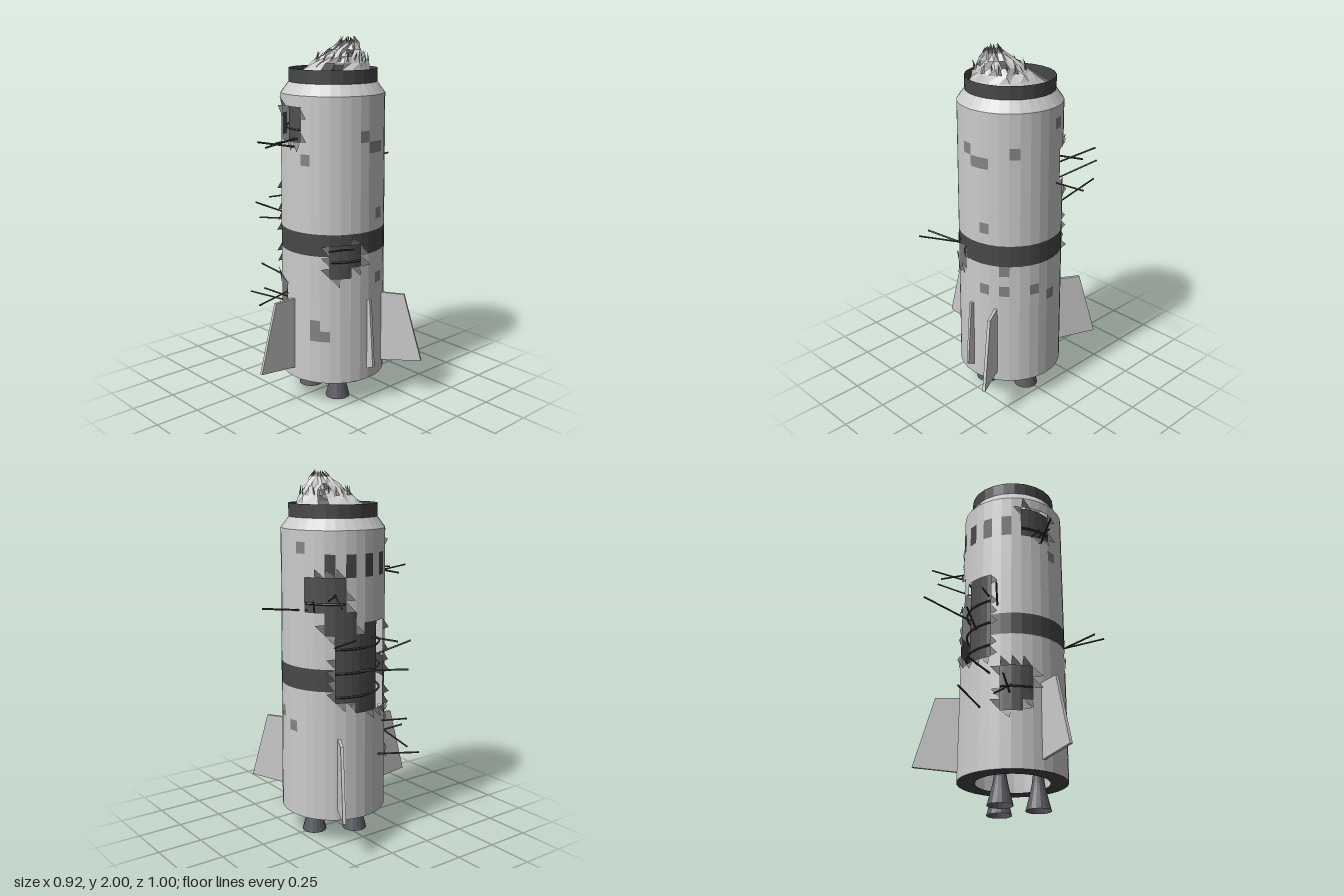
import * as THREE from 'three';

const COLS = 32, ROWS = 26, Y0 = 0.14, ROW_H = 0.06;
const mat = (color) => new THREE.MeshStandardMaterial({ color, side: THREE.DoubleSide, flatShading: true });

function seeded(seed) {
  return () => {
    seed = (seed * 16807) % 2147483647;
    return seed / 2147483647;
  };
}

// Holes as [first col, last col, first row, last row]; column 0 starts at the front
const HOLES = [
  [-2, 0, 23, 24], [-1, 0, 22, 22], [-2, -2, 22, 22],
  [-11, -6, 11, 16], [-9, -6, 10, 10], [-8, -6, 17, 17],
  [-14, -11, 19, 21], [-12, -10, 17, 18],
  [-4, -2, 6, 8], [-4, -3, 5, 5],
  [4, 6, 11, 12], [4, 5, 10, 10],
];
const WINDOWS = [-4, -6, -8, -10, -12];
const PATCHES = [[1, 20], [2, 5], [7, 22], [8, 21], [9, 21], [9, 15], [9, 9], [2, 4], [3, 4],
  [-15, 24], [-16, 8], [12, 22], [11, 9], [14, 9], [11, 11]];

const isHole = (c, r) => HOLES.some(([a, b, d, e]) => c >= a && c <= b && r >= d && r <= e);

// Point on the hull at a fractional column and row, pushed out by `lift`
function hullPoint(c, r, lift = 0) {
  const a = (c / COLS) * Math.PI * 2;
  const radius = 0.29 - 0.01 * (r / ROWS) + lift;
  return [Math.sin(a) * radius, Y0 + r * ROW_H, Math.cos(a) * radius];
}

function soup(points) {
  const g = new THREE.BufferGeometry();
  g.setAttribute('position', new THREE.Float32BufferAttribute(points.flat(), 3));
  g.computeVertexNormals();
  return g;
}

const quad = (a, b, c, d) => [a, b, c, a, c, d];

export function createModel() {
  const root = new THREE.Group();
  root.name = 'damagedRocket';
  const body = new THREE.Group();
  body.name = 'rocketBody';
  body.position.set(0.005, 0, -0.02);
  root.add(body);

  const light = mat(0xcccccc), grey = mat(0x858585), dark = mat(0x484848), metal = mat(0x5a5a62);
  const add = (name, geometry, material, parent = body) => {
    const m = new THREE.Mesh(geometry, material);
    m.name = name;
    parent.add(m);
    return m;
  };
  const random = seeded(77);

  // Hull panels sorted by colour, with torn flaps around the holes
  const plain = [], patched = [], bands = [], flaps = [];
  for (let c = -COLS / 2; c < COLS / 2; c++) {
    for (let r = 0; r < ROWS; r++) {
      if (isHole(c, r)) continue;
      const isDark = r === 12 || r === 13 || (WINDOWS.includes(c) && (r === 22 || r === 23));
      const isPatch = PATCHES.some(([pc, pr]) => pc === c && pr === r);
      const target = isDark ? bands : isPatch ? patched : plain;
      target.push(...quad(hullPoint(c, r), hullPoint(c + 1, r), hullPoint(c + 1, r + 1), hullPoint(c, r + 1)));
      for (const [dc, dr] of [[1, 0], [-1, 0], [0, 1], [0, -1]]) {
        if (!isHole(c + dc, r + dr) || random() < 0.35) continue;
        const lift = 0.008 + random() * 0.02;
        const u = c + 0.5 + dc * 0.5, v = r + 0.5 + dr * 0.5;
        flaps.push(
          hullPoint(u - dr * 0.5, v - dc * 0.5, 0.002),
          hullPoint(u + dr * 0.5, v + dc * 0.5, 0.002),
          hullPoint(u - dc * 0.8 + dr * 0.4, v - dr * 0.8 + dc * 0.4, lift));
      }
    }
  }
  add('hullPanels', soup(plain), light);
  add('discolouredPanels', soup(patched), grey);
  add('bandAndWindows', soup(bands), dark);
  add('tornFlaps', soup(flaps), grey);

  // Dark inner wall with hoops, seen through the holes
  const liner = add('innerWall', new THREE.CylinderGeometry(0.238, 0.238, 1.36, 32, 1, true),
    new THREE.MeshStandardMaterial({ color: 0x505050, flatShading: true }));
  liner.position.y = 0.98;
  for (const y of [0.58, 0.82, 0.95, 1.08, 1.32, 1.52]) {
    const hoop = add('innerHoop', new THREE.TorusGeometry(0.255, 0.006, 5, 32), dark);
    hoop.rotation.x = Math.PI / 2;
    hoop.position.y = y;
  }

  // Base ring, shoulder and collar
  const base = add('baseRing', new THREE.RingGeometry(0.195, 0.29, 32), dark);
  base.rotation.x = Math.PI / 2;
  base.position.y = Y0;
  const shoulder = add('shoulder', new THREE.CylinderGeometry(0.235, 0.28, 0.06, 32, 1, true), light);
  shoulder.position.y = 1.73;
  const collar = add('collar', new THREE.CylinderGeometry(0.238, 0.238, 0.07, 24, 1, true), dark);
  collar.position.y = 1.793;

  // Crumpled nose leaning sideways, with missing panels and a frayed tip
  const SIDES = 20, LEVELS = 6;
  const nosePoint = (s, l) => {
    const a = (s / SIDES) * Math.PI * 2, t = l / LEVELS;
    const wobble = l > 2 ? 0.012 * Math.sin(s * 2.7 + l * 1.9) : 0;
    const radius = 0.235 - 0.185 * t + wobble;
    return [0.115 * t + Math.sin(a) * radius, 1.76 + 0.2 * t, Math.cos(a) * radius];
  };
  const nose = [], frays = [];
  for (let s = 0; s < SIDES; s++) {
    for (let l = 0; l < LEVELS; l++) {
      const gap = (s === 12 && l > 0 && l < 4) || ((s === 1 || s === 2) && l > 0 && l < 3)
        || (l === 4 && s % 5 === 3);
      if (gap) continue;
      nose.push(...quad(nosePoint(s, l), nosePoint(s + 1, l), nosePoint(s + 1, l + 1), nosePoint(s, l + 1)));
    }
    const a = ((s + 0.5) / SIDES) * Math.PI * 2, reach = 0.01 + random() * 0.035;
    frays.push(nosePoint(s, LEVELS), nosePoint(s + 1, LEVELS),
      [0.12 + Math.sin(a) * reach, 1.97 + random() * 0.03, Math.cos(a) * reach]);
    // Lifted splinters on the upper cone
    const [px, py, pz] = nosePoint(s + 0.5, 4);
    frays.push(nosePoint(s + 0.2, 3.2), nosePoint(s + 0.6, 3.2),
      [px + Math.sin(a) * 0.012, py + 0.025, pz + Math.cos(a) * 0.012]);
  }
  add('noseCone', soup(nose), light);
  add('frayedTip', soup(frays), grey);

  // Three full fins and one broken stub: [degrees, top reach, bottom reach]
  for (const [degrees, top, bottom] of [[0, 0.415, 0.52], [120, 0.415, 0.52], [240, 0.415, 0.52], [90, 0.305, 0.335]]) {
    const shape = new THREE.Shape([
      new THREE.Vector2(0.275, 0.195), new THREE.Vector2(bottom, 0.22),
      new THREE.Vector2(top, 0.6), new THREE.Vector2(0.275, 0.6)]);
    const geo = new THREE.ExtrudeGeometry(shape, { depth: 0.016, bevelEnabled: false }).translate(0, 0, -0.008);
    const fin = add(top > 0.4 ? 'fin' : 'brokenFin', geo, light);
    fin.rotation.y = THREE.MathUtils.degToRad(degrees - 90);
  }

  // Open engine bells
  const bell = [[0.068, 0], [0.055, 0.05], [0.042, 0.1], [0.034, 0.14], [0.03, 0.18], [0, 0.18]]
    .map(([x, y]) => new THREE.Vector2(x, y));
  for (const degrees of [60, 180, 300]) {
    const a = THREE.MathUtils.degToRad(degrees);
    const nozzle = add('engineNozzle', new THREE.LatheGeometry(bell, 16), metal);
    nozzle.position.set(Math.sin(a) * 0.132, 0, Math.cos(a) * 0.132);
  }

  // Bent rods sticking out of the holes: start xyz, end xyz
  const rods = [
    [-0.07, 1.28, -0.24, -0.04, 1.31, -0.5],
    [-0.13, 1.28, -0.24, -0.3, 1.37, -0.365],
    [-0.19, 1.34, -0.19, -0.38, 1.4, -0.285],
    [-0.2, 1.37, -0.16, -0.35, 1.325, -0.225],
    [-0.18, 1.08, -0.17, -0.455, 1.18, -0.22],
    [-0.2, 0.95, -0.05, -0.4, 0.965, 0.18],
    [-0.19, 1.02, 0.14, -0.29, 1.09, 0.29],
    [-0.21, 1.12, 0.08, -0.31, 1.1, 0.18],
    [-0.17, 0.63, 0.12, -0.39, 0.69, 0.18],
    [-0.2, 0.46, 0.05, -0.455, 0.51, 0.215],
    [-0.14, 0.55, 0.18, -0.24, 0.6, 0.28],
    [-0.12, 0.6, 0.17, -0.29, 0.48, 0.28],
    [0.02, 1.43, 0.24, -0.05, 1.47, 0.45],
    [-0.03, 1.47, 0.2, -0.075, 1.43, 0.38],
    [0.0, 1.47, 0.23, -0.005, 1.46, 0.37],
    [0.22, 0.89, 0.12, 0.445, 0.965, 0.235],
    [0.23, 0.89, 0.11, 0.33, 0.94, 0.3],
  ];
  const up = new THREE.Vector3(0, 1, 0);
  for (const [ax, ay, az, bx, by, bz] of rods) {
    const a = new THREE.Vector3(ax, ay, az), b = new THREE.Vector3(bx, by, bz);
    const rod = add('bentRod', new THREE.CylinderGeometry(0.005, 0.005, a.distanceTo(b), 6), dark, root);
    rod.position.lerpVectors(a, b, 0.5);
    rod.quaternion.setFromUnitVectors(up, b.sub(a).normalize());
  }
  return root;
}
